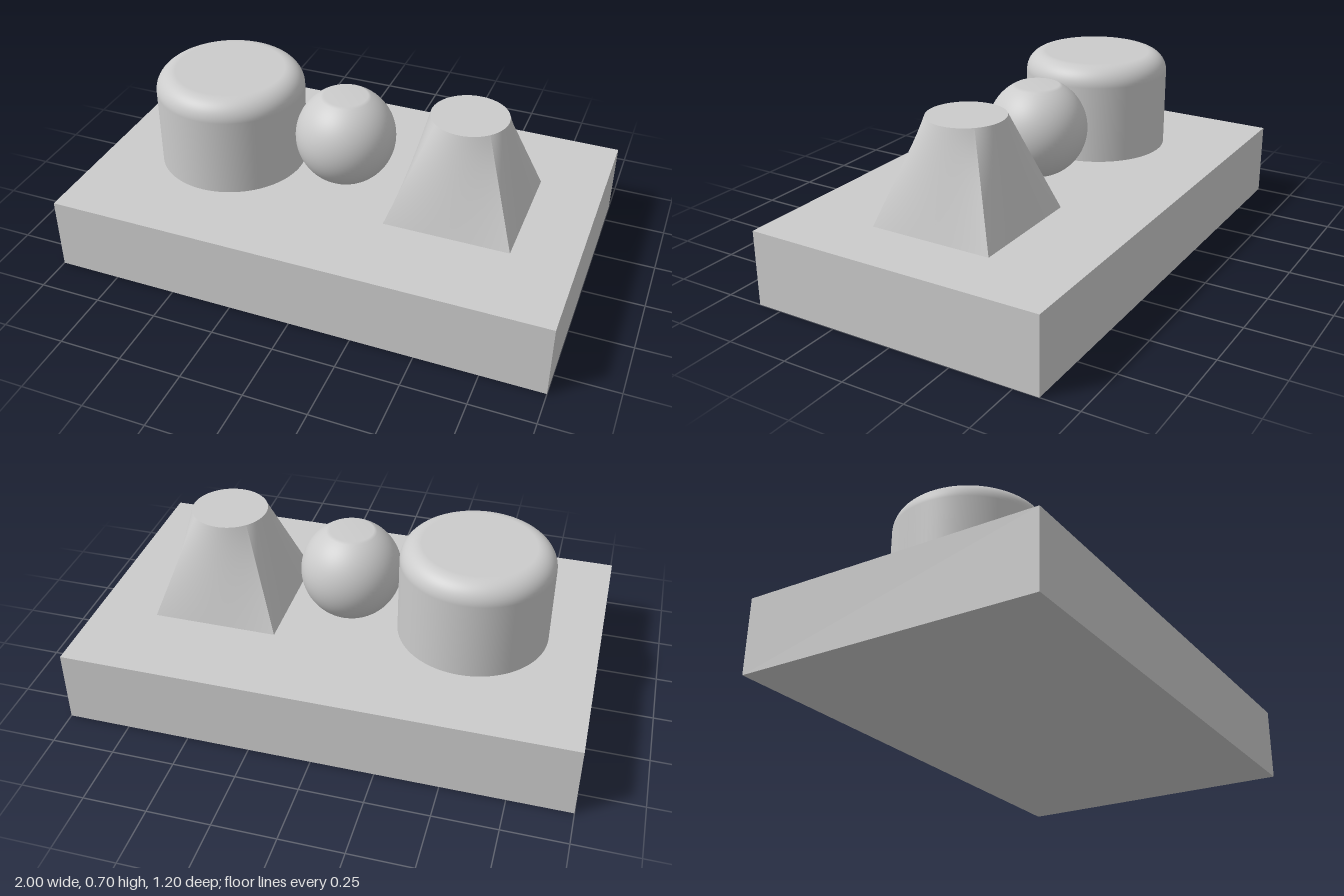
import * as THREE from 'three';

const BASE_TOP = 0.3;
const material = new THREE.MeshStandardMaterial({ color: 0xcccccc });

function addMesh(parent, name, geometry, x, y) {
  const mesh = new THREE.Mesh(geometry, material);
  mesh.name = name;
  mesh.position.set(x, y, 0);
  parent.add(mesh);
  return mesh;
}

// Points on a circular arc in the lathe profile plane
function arc(cx, cy, r, from, to, steps) {
  return Array.from({ length: steps + 1 }, (_, i) => {
    const a = from + (to - from) * (i / steps);
    return new THREE.Vector2(Math.max(0, cx + r * Math.cos(a)), cy + r * Math.sin(a));
  });
}

// One ruled side of a square-to-circle loft, facing +z
function loftSide(half, radius, height) {
  const geometry = new THREE.PlaneGeometry(2, 1, 24, 12);
  const pos = geometry.attributes.position;
  for (let i = 0; i < pos.count; i++) {
    const s = pos.getX(i);
    const t = pos.getY(i) + 0.5;
    const angle = s * Math.PI / 4;
    pos.setXYZ(
      i,
      THREE.MathUtils.lerp(s * half, radius * Math.sin(angle), t),
      t * height,
      THREE.MathUtils.lerp(half, radius * Math.cos(angle), t)
    );
  }
  geometry.computeVertexNormals();
  return geometry;
}

export function createModel() {
  const model = new THREE.Group();
  model.name = 'solidsOnPlate';

  // Rectangular plate
  addMesh(model, 'basePlate', new THREE.BoxGeometry(2, BASE_TOP, 1.2), 0, BASE_TOP / 2);

  // Cylinder with a filleted top rim
  const fillet = 0.08;
  const drum = [
    new THREE.Vector2(0.3, 0),
    ...arc(0.3 - fillet, 0.4 - fillet, fillet, 0, Math.PI / 2, 14),
    new THREE.Vector2(0, 0.4),
  ];
  addMesh(model, 'roundedCylinder', new THREE.LatheGeometry(drum, 96), -0.5, BASE_TOP);

  // Ball with a small flattened crown
  const ball = [
    ...arc(0, 0.2, 0.2, -Math.PI / 2, Math.asin(0.9), 40),
    new THREE.Vector2(0, 0.38),
  ];
  addMesh(model, 'ball', new THREE.LatheGeometry(ball, 64), 0, BASE_TOP);

  // Square-to-circle loft: four ruled sides and a round cap
  const loft = new THREE.Group();
  loft.name = 'squareToRoundLoft';
  loft.position.set(0.5, BASE_TOP, 0);
  const side = loftSide(0.25, 0.15, 0.4);
  for (let i = 0; i < 4; i++) {
    addMesh(loft, 'loftSide', side, 0, 0).rotation.y = i * Math.PI / 2;
  }
  addMesh(loft, 'loftCap', new THREE.CircleGeometry(0.15, 96), 0, 0.4).rotation.x = -Math.PI / 2;
  model.add(loft);

  return model;
}
